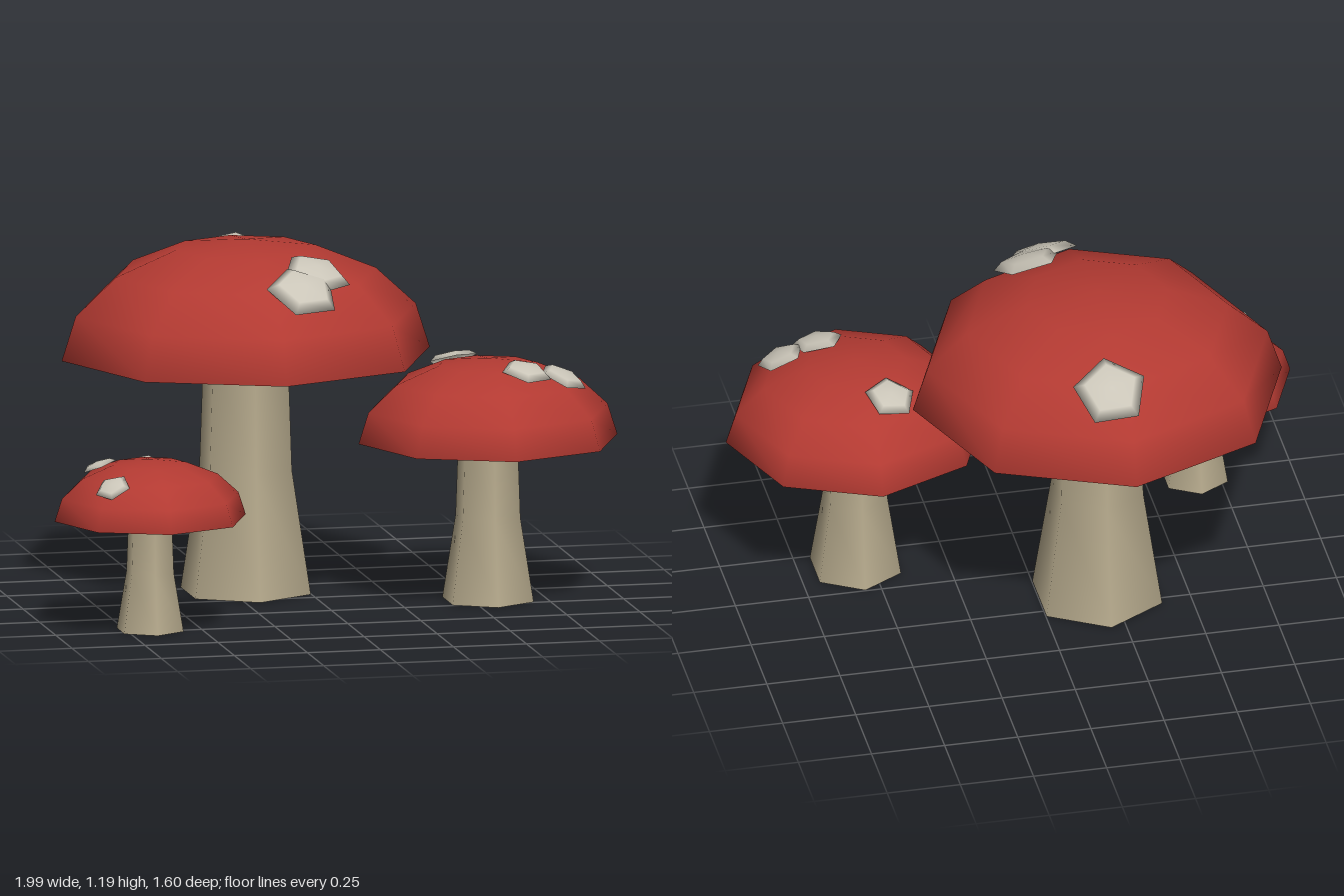
import * as THREE from 'three';

const capMat = new THREE.MeshStandardMaterial({ color: 0xb33a32 });
const stemMat = new THREE.MeshStandardMaterial({ color: 0xb5a98c, side: THREE.DoubleSide });
const undersideMat = new THREE.MeshStandardMaterial({ color: 0xb5a98c });
const spotMat = new THREE.MeshStandardMaterial({ color: 0xcac5b8, side: THREE.DoubleSide });

const UP = new THREE.Vector3(0, 1, 0);

function part(name, geometry, material) {
  const mesh = new THREE.Mesh(geometry, material);
  mesh.name = name;
  return mesh;
}

// Five-sided flattened dome lying on the cap; x, z are offsets from the cap's axis
function makeSpot({ x, z, r, spin = 0 }, R, H) {
  const geo = new THREE.SphereGeometry(r, 5, 2, 0, Math.PI * 2, 0, Math.PI / 2);
  geo.scale(1, 0.3, 1);
  geo.rotateY(Math.PI / 2 + THREE.MathUtils.degToRad(spin));
  const y = H * Math.sqrt(1 - (x * x + z * z) / (R * R));
  const normal = new THREE.Vector3(x / (R * R), y / (H * H), z / (R * R)).normalize();
  const spot = part('spot', geo, spotMat);
  spot.position.set(x, y, z);
  spot.quaternion.setFromUnitVectors(UP, normal);
  return spot;
}

function makeMushroom({ name, x, z, capRadius: R, capHeight: H, stemHeight, stemRadius, spots }) {
  const mushroom = new THREE.Group();
  mushroom.name = name;
  mushroom.position.set(x, 0, z);

  // Six-sided stem, flared at the foot and open at the bottom
  const profile = [[1, 0], [0.71, 0.52], [0.65, 1]].map(
    ([r, y]) => new THREE.Vector2(r * stemRadius, y * stemHeight));
  mushroom.add(part('stem', new THREE.LatheGeometry(profile, 6), stemMat));

  // Eight-sided flattened dome with a flat underside
  const cap = new THREE.Group();
  cap.name = 'cap';
  cap.position.y = stemHeight;
  const dome = new THREE.SphereGeometry(R, 8, 4, 0, Math.PI * 2, 0, Math.PI / 2);
  dome.scale(1, H / R, 1);
  const underside = new THREE.CircleGeometry(R, 8).rotateX(Math.PI / 2);
  cap.add(part('capTop', dome, capMat), part('capUnderside', underside, undersideMat));
  for (const s of spots) cap.add(makeSpot(s, R, H));
  mushroom.add(cap);
  return mushroom;
}

export function createModel() {
  const model = new THREE.Group();
  model.name = 'mushroomCluster';
  model.add(
    makeMushroom({
      name: 'largeMushroom', x: -0.2, z: -0.17,
      capRadius: 0.63, capHeight: 0.39, stemHeight: 0.805, stemRadius: 0.228,
      spots: [
        { x: 0.05, z: -0.45, r: 0.127 },
        { x: 0.17, z: 0.32, r: 0.118 },
        { x: 0.1, z: 0.43, r: 0.125, spin: -20 },
      ],
    }),
    makeMushroom({
      name: 'mediumMushroom', x: 0.555, z: 0.163,
      capRadius: 0.443, capHeight: 0.275, stemHeight: 0.545, stemRadius: 0.16,
      spots: [
        { x: -0.075, z: -0.21, r: 0.087 },
        { x: 0.095, z: 0.16, r: 0.088, spin: -7 },
        { x: 0.225, z: 0.135, r: 0.085 },
      ],
    }),
    makeMushroom({
      name: 'smallMushroom', x: -0.67, z: 0.47,
      capRadius: 0.327, capHeight: 0.2, stemHeight: 0.38, stemRadius: 0.117,
      spots: [
        { x: -0.16, z: -0.07, r: 0.062 },
        { x: -0.165, z: 0.17, r: 0.062, spin: -20 },
        { x: 0.035, z: -0.225, r: 0.062 },
      ],
    }),
  );
  return model;
}
